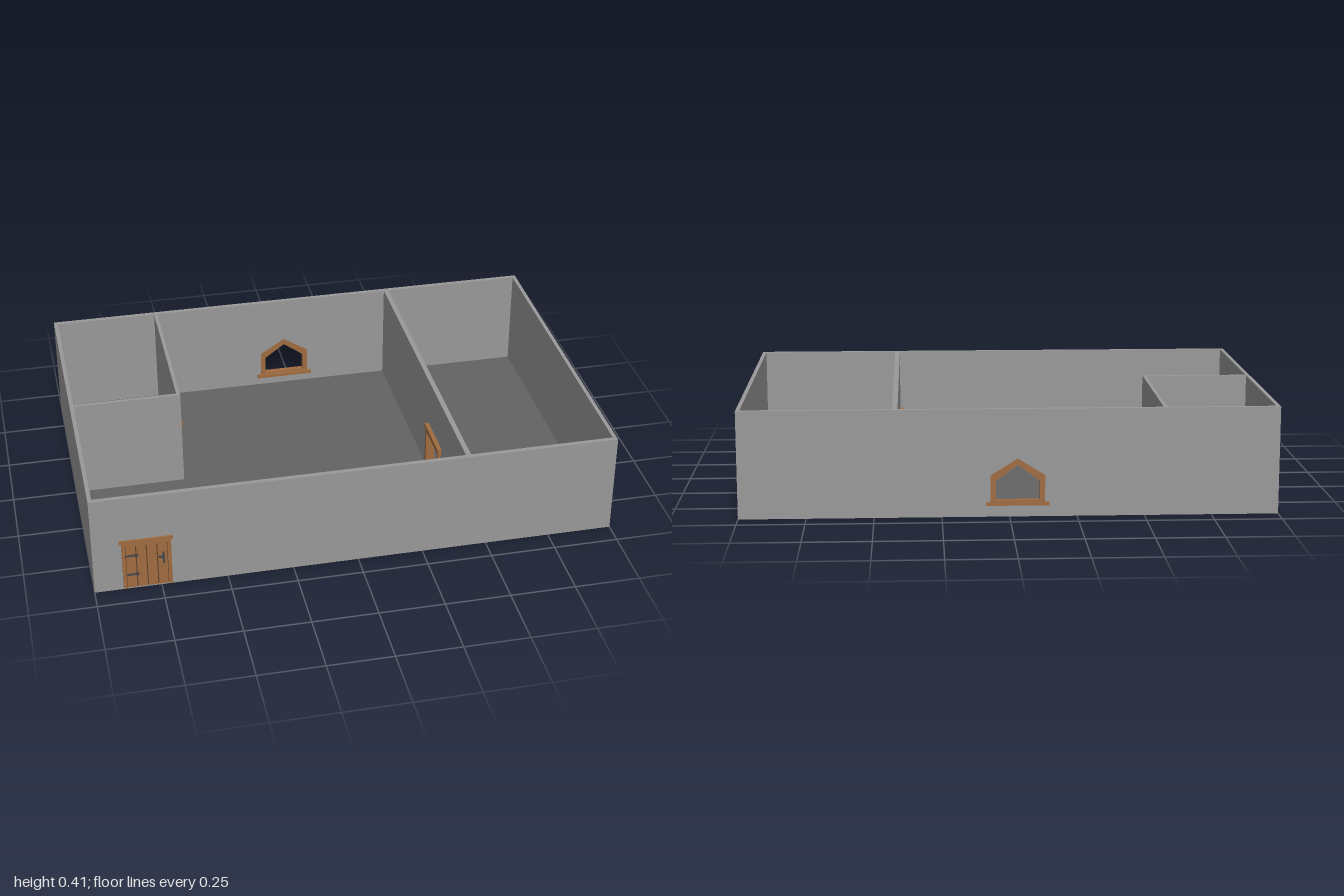
import * as THREE from 'three';

const mat = (name, color) => {
  const m = new THREE.MeshStandardMaterial({ color });
  m.name = name;
  return m;
};

export function createModel() {
  const stone = mat('wall grey', 0x999999);
  const floorMat = mat('floor grey', 0x636363);
  const wood = mat('wood', 0xa06c40);
  const darkWood = mat('dark wood', 0x5f4225);
  const iron = mat('iron', 0x44454a);

  const model = new THREE.Group();
  model.name = 'floorPlan';
  const H = 0.405;

  const add = (parent, name, geo, material) => {
    const mesh = new THREE.Mesh(geo, material);
    mesh.name = name;
    parent.add(mesh);
    return mesh;
  };
  // Box given by its lower and upper limits
  const box = (parent, name, material, [x0, x1], [y0, y1], [z0, z1]) => {
    const m = add(parent, name, new THREE.BoxGeometry(x1 - x0, y1 - y0, z1 - z0), material);
    m.position.set((x0 + x1) / 2, (y0 + y1) / 2, (z0 + z1) / 2);
    return m;
  };
  const group = (name, x, y, z, ry = 0) => {
    const g = new THREE.Group();
    g.name = name;
    g.position.set(x, y, z);
    g.rotation.y = ry;
    model.add(g);
    return g;
  };
  const vec = (pts) => pts.map(([x, y]) => new THREE.Vector2(x, y));
  // Flat plate with an opening, centred on its thickness
  const plate = (outline, hole, depth) => {
    const s = new THREE.Shape(vec(outline));
    if (hole) s.holes.push(new THREE.Path(vec(hole)));
    const g = new THREE.ExtrudeGeometry(s, { depth, bevelEnabled: false });
    return g.translate(0, 0, -depth / 2);
  };
  const rect = (x0, x1, y0, y1) => [[x0, y0], [x1, y0], [x1, y1], [x0, y1]];
  // Gabled window outline, grown by d
  const gable = (d) => [
    [-0.095 - d, 0.055], [0.095 + d, 0.055], [0.095 + d, 0.15 + d],
    [0, 0.212 + d * 1.2], [-0.095 - d, 0.15 + d],
  ];

  // Floors with a joint strip beneath
  const floor = (name, x, z) => box(model, name, floorMat, x, [0.001, 0.006], z);
  floor('sideRoomFloor', [0.43, 0.985], [-0.652, 0.647]);
  floor('hallFloor', [-0.985, 0.41], [-0.652, 0.647]);
  box(model, 'floorJoint', stone, [-0.985, 0.41], [0, 0.004], [-0.007, 0.007]);
  box(model, 'floorJointSmallRoom', stone, [-0.582, -0.568], [0, 0.004], [-0.652, 0]);

  // Outer walls
  const doorX = -0.8, windowX = -0.03;
  add(model, 'frontWall', plate(rect(-1, 1, 0, H),
    rect(doorX - 0.09, doorX + 0.09, 0.006, 0.205), 0.018), stone).position.z = 0.656;
  add(model, 'backWall', plate(rect(-1, 1, 0, H),
    gable(0).map(([x, y]) => [x + windowX, y]), 0.018), stone).position.z = -0.66;
  for (const s of [-1, 1]) {
    box(model, s > 0 ? 'leftWall' : 'rightWall', stone,
      s > 0 ? [0.985, 1] : [-1, -0.985], [0, H], [-0.651, 0.647]);
  }

  // Inner walls with doorways
  const hallPartition = add(model, 'hallPartition', plate(rect(-0.651, 0.647, 0, H),
    rect(0.135, 0.315, 0.006, 0.205), 0.02), stone);
  hallPartition.position.x = 0.42;
  hallPartition.rotation.y = -Math.PI / 2;
  const roomPartition = add(model, 'smallRoomPartition', plate(rect(-0.651, 0.007, 0, H),
    rect(-0.265, -0.085, 0.006, 0.205), 0.014), stone);
  roomPartition.position.x = -0.575;
  roomPartition.rotation.y = -Math.PI / 2;
  box(model, 'smallRoomFrontWall', stone, [-0.985, -0.582], [0, H], [-0.007, 0.007]);

  // Door frame: posts and a wider lintel, standing proud on local +z
  const doorFrame = (g, back, front) => {
    for (const s of [-1, 1]) {
      const x = s > 0 ? [0.078, 0.092] : [-0.092, -0.078];
      box(g, 'post', wood, x, [0.004, 0.205], [back, front]);
    }
    box(g, 'lintel', wood, [-0.1, 0.1], [0.205, 0.22], [0.008, front + 0.003]);
    box(g, 'lintelSoffit', wood, [-0.078, 0.078], [0.193, 0.205], [back, front]);
  };
  doorFrame(group('hallDoorway', 0.42, 0, 0.225, -Math.PI / 2), -0.011, 0.024);
  doorFrame(group('smallRoomDoorway', -0.575, 0, -0.175, Math.PI / 2), -0.008, 0.018);

  // Front door with planks, hinges and handles
  const door = group('frontDoor', doorX, 0, 0.656);
  doorFrame(door, -0.009, 0.013);
  box(door, 'doorCore', darkWood, [-0.078, 0.078], [0.006, 0.193], [-0.007, 0.008]);
  for (let i = 0; i < 4; i++) {
    const x = -0.078 + i * 0.039;
    box(door, 'plank', wood, [x + 0.002, x + 0.037], [0.006, 0.2], [-0.009, 0.0115]);
  }
  for (const y of [0.065, 0.15]) {
    box(door, 'hingeStrap', iron, [-0.08, -0.042], [y - 0.004, y + 0.004], [0.011, 0.014]);
    const tip = add(door, 'hingeTip', new THREE.CylinderGeometry(0.008, 0.008, 0.003, 6), iron);
    tip.rotation.x = Math.PI / 2;
    tip.position.set(-0.038, y, 0.0125);
  }
  for (const z of [0.0125, -0.0125]) {
    box(door, 'handlePlate', iron, [0.058, 0.066], [0.1, 0.15], [z - 0.002, z + 0.002]);
    box(door, 'handleLever', iron, [0.042, 0.066], [0.126, 0.134], [z - 0.003, z + 0.003]);
  }

  // Gabled window frame and sill
  const win = group('backWindow', windowX, 0, -0.66);
  const inner = gable(-0.014).map(([x, y]) => [x, Math.max(y, 0.062)]);
  add(win, 'windowFrame', plate(gable(0.006), inner, 0.023), wood);
  box(win, 'windowSill', wood, [-0.117, 0.117], [0.042, 0.056], [-0.013, 0.021]);

  // Chair tilted back and wedged against the door
  const chair = group('wedgedChair', -0.74, 0.004, 0.522);
  chair.rotation.x = 0.56;
  for (const x of [-0.035, 0.035]) {
    box(chair, 'backPost', darkWood, [x - 0.004, x + 0.004], [0, 0.226], [-0.004, 0.004]);
    box(chair, 'frontLeg', darkWood, [x - 0.004, x + 0.004], [0, 0.09], [-0.08, -0.072]);
    box(chair, 'sideRail', darkWood, [x - 0.003, x + 0.003], [0.035, 0.041], [-0.074, 0]);
  }
  box(chair, 'seat', darkWood, [-0.04, 0.04], [0.09, 0.098], [-0.082, 0.004]);
  box(chair, 'backPanel', wood, [-0.039, 0.039], [0.115, 0.215], [-0.007, 0.002]);

  return model;
}
